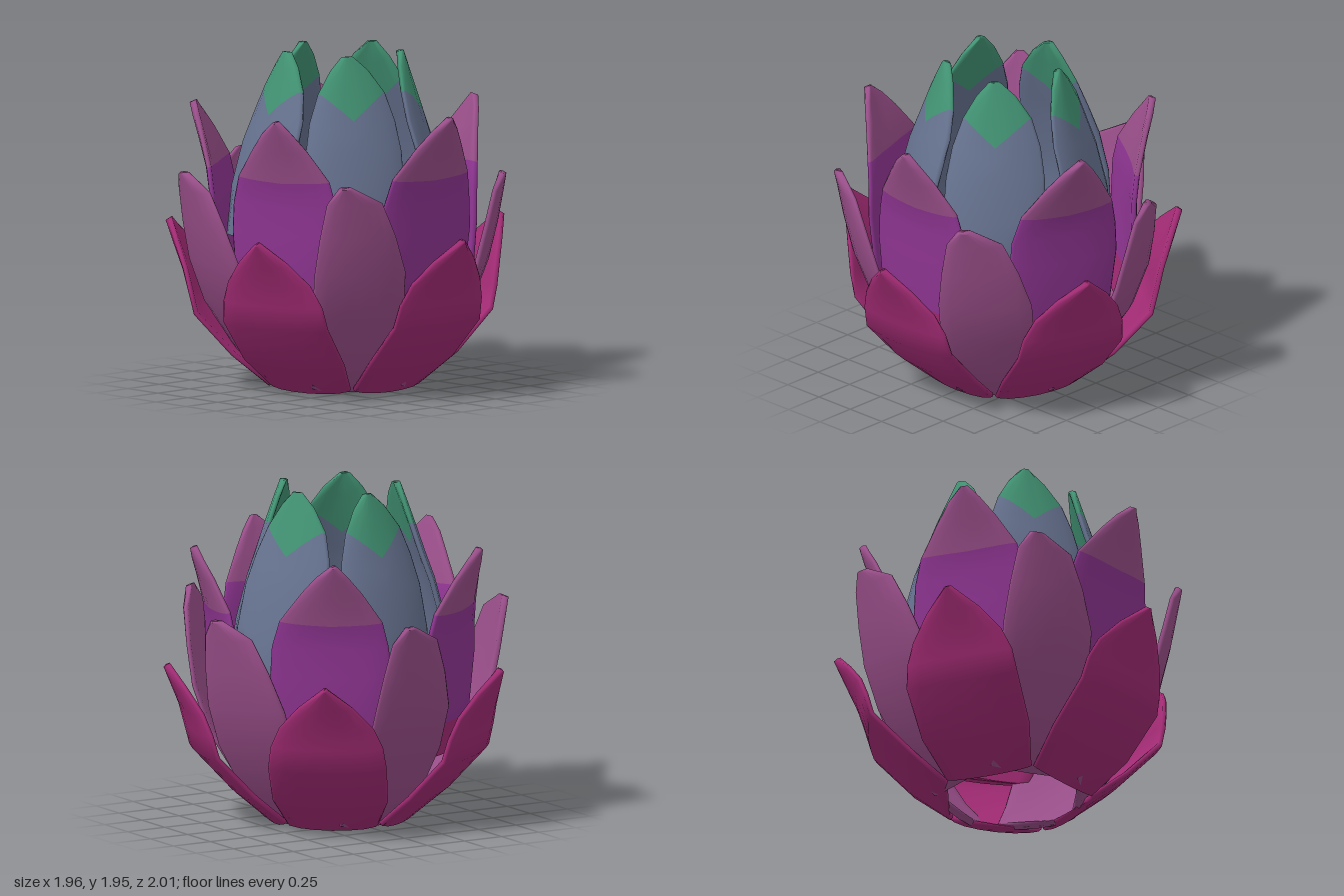
import * as THREE from 'three';

const mat = (name, color) => Object.assign(new THREE.MeshStandardMaterial({ color }), { name });

// linear interpolation of the petal's radius at height y
function radiusAt(rows, y) {
  for (let k = 1; k < rows.length; k++) {
    const [y0, r0] = rows[k - 1], [y1, r1] = rows[k];
    if (y <= y1 || k === rows.length - 1) return r0 + (r1 - r0) * (y - y0) / (y1 - y0);
  }
}

// Petal lofted from rows [height, radius, half width, sideways shift, sag of the row's middle].
// bands: first row of each material; bulge: how far the middle swells out; yaw: turn about its own axis.
function petalGeometry({ rows, bands, bulge, yaw }) {
  const half = 0.021;
  const us = [-1, -0.75, -0.4, 0, 0.4, 0.75, 1];
  const pos = [];
  const lists = bands.map(() => []);
  rows.forEach(([y, , w, shift = 0, sag = 0], k) => {
    // profile normal, pointing outward
    const a = rows[Math.max(0, k - 1)], b = rows[Math.min(rows.length - 1, k + 1)];
    const len = Math.hypot(b[0] - a[0], b[1] - a[1]);
    const nr = (b[0] - a[0]) / len, ny = -(b[1] - a[1]) / len;
    const point = (u, side, extra) => {
      const v = Math.abs(u);
      const yy = y - sag * (1 - v);
      const h = side * half * (v === 1 ? 0.7 : 1) + bulge * (1 - v * v) * Math.min(1, w / 0.2);
      const t = u * w + shift + extra;
      pos.push(t, yy + ny * h, radiusAt(rows, yy) + nr * h - yaw * t);
    };
    us.forEach(u => point(u, 1, 0));
    point(1, 0, 0.012);
    [...us].reverse().forEach(u => point(u, -1, 0));
    point(-1, 0, -0.012);
  });
  const n = us.length * 2 + 2, last = (rows.length - 1) * n;
  for (let k = 0; k < rows.length - 1; k++) {
    const list = lists[bands.filter(first => first <= k).length - 1];
    for (let i = 0; i < n; i++) {
      const a = k * n + i, b = k * n + (i + 1) % n;
      list.push(a, b, b + n, a, b + n, a + n);
    }
  }
  for (let i = 1; i < n - 1; i++) {
    lists[0].push(0, i + 1, i);
    lists[lists.length - 1].push(last, last + i, last + i + 1);
  }
  const g = new THREE.BufferGeometry();
  g.setAttribute('position', new THREE.Float32BufferAttribute(pos, 3));
  g.setIndex(lists.flat());
  let start = 0;
  lists.forEach((list, m) => {
    g.addGroup(start, list.length, m);
    start += list.length;
  });
  g.computeVertexNormals();
  return g;
}

export function createModel() {
  const magenta = mat('magenta', 0xa22b74);
  const mauve = mat('mauve', 0x9a4f8a);
  const purple = mat('purple', 0x8f3592);
  const slate = mat('slate blue', 0x66728f);
  const green = mat('green', 0x429374);

  const rings = [
    { // low, wide open petals
      name: 'outerPetal', turn: 0, mats: [magenta], bands: [0], bulge: 0.025, yaw: 0,
      rows: [[0.025, 0.37, 0.25], [0.2, 0.575, 0.32], [0.43, 0.79, 0.33], [0.56, 0.825, 0.312],
        [0.68, 0.865, 0.26], [0.81, 0.935, 0.15], [0.93, 1.01, 0.008]],
    },
    { // petals in the gaps, tips leaning sideways
      name: 'secondPetal', turn: 36, mats: [mauve], bands: [0], bulge: 0.025, yaw: 0.1,
      rows: [[0.035, 0.36, 0.22], [0.22, 0.53, 0.24], [0.5, 0.715, 0.255], [0.75, 0.81, 0.255],
        [0.97, 0.865, 0.21, -0.02], [1.17, 0.91, 0.15, -0.045], [1.265, 0.945, 0.03, -0.1]],
    },
    { // tall petals with a darker base and a paler tip
      name: 'thirdPetal', turn: 0, mats: [magenta, purple, mauve], bands: [0, 1, 4], bulge: 0.025, yaw: 0,
      rows: [[0.43, 0.63, 0.25], [0.62, 0.67, 0.31], [0.95, 0.69, 0.335, 0.01], [1.12, 0.695, 0.325, 0.01],
        [1.275, 0.72, 0.285, 0.015, 0.01], [1.45, 0.785, 0.165, 0.025], [1.55, 0.83, 0.085, 0.03],
        [1.62, 0.86, 0.012, 0.04]],
    },
    { // cupped inner petals closing toward the middle, with a pointed tip patch
      name: 'innerPetal', turn: 37, mats: [slate, green], bands: [0, 4], bulge: 0.05, yaw: 0.1,
      rows: [[0.87, 0.57, 0.26], [1.15, 0.525, 0.28], [1.4, 0.46, 0.27], [1.57, 0.405, 0.24, 0, 0.1],
        [1.73, 0.368, 0.185, 0, 0.16], [1.86, 0.345, 0.1, -0.01, 0.07], [1.94, 0.335, 0.02, -0.02]],
    },
  ];

  const model = new THREE.Group();
  model.name = 'lotusFlower';
  for (const spec of rings) {
    const { name, turn, mats } = spec;
    const geometry = petalGeometry(spec);
    const ring = new THREE.Group();
    ring.name = name + 'Ring';
    for (let i = 0; i < 5; i++) {
      const petal = new THREE.Mesh(geometry, mats);
      petal.name = name;
      petal.rotation.y = THREE.MathUtils.degToRad(turn + i * 72);
      ring.add(petal);
    }
    ring.position.z = -0.02;
    model.add(ring);
  }
  return model;
}
